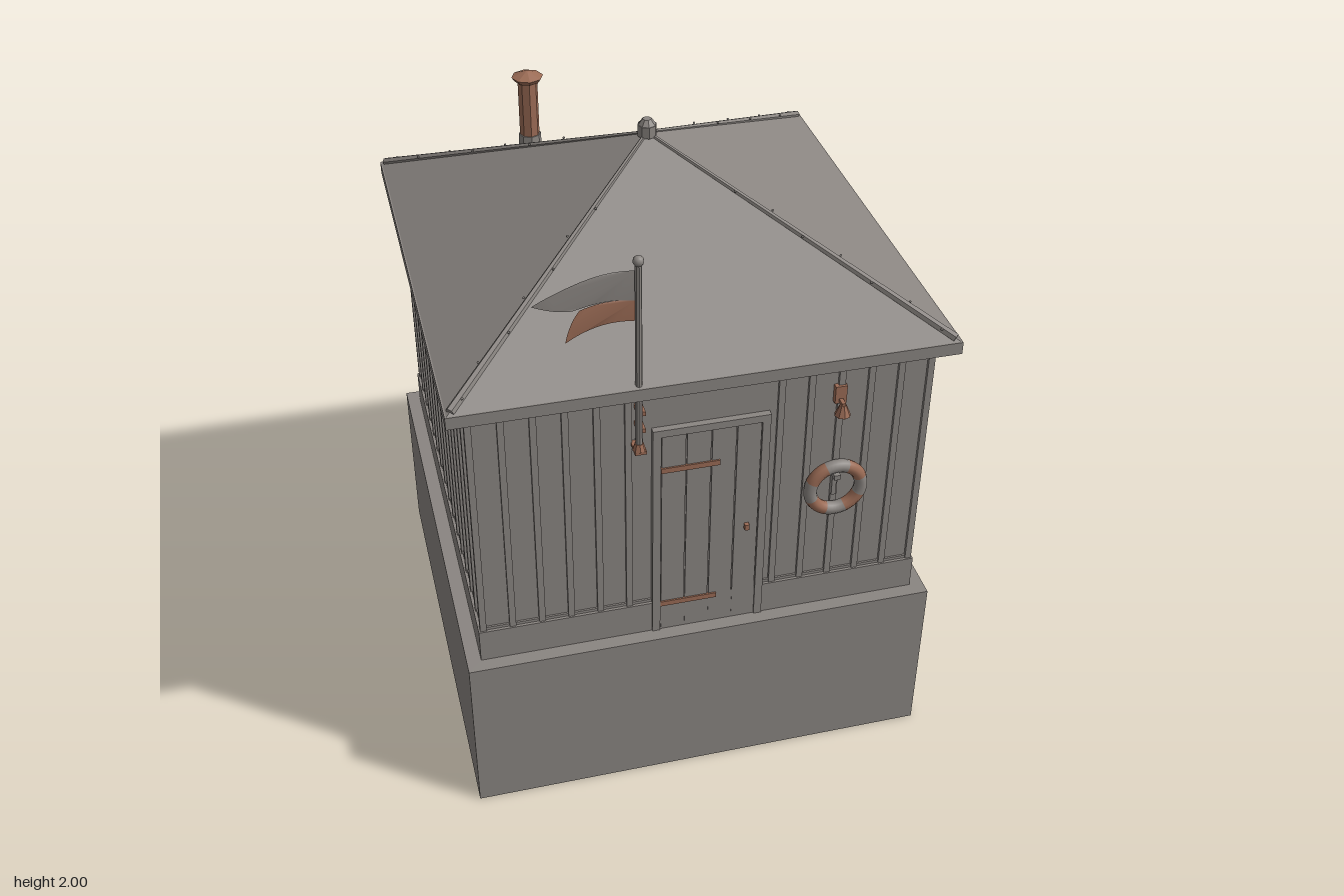
import * as THREE from 'three';

const grey = new THREE.MeshStandardMaterial({ color: 0x8a8581 });
grey.name = 'weathered grey';
const copper = new THREE.MeshStandardMaterial({ color: 0x9a6b55 });
copper.name = 'rusty copper';
const greyCloth = new THREE.MeshStandardMaterial({ color: 0x8a8581, side: THREE.DoubleSide });
greyCloth.name = 'grey cloth';
const copperCloth = new THREE.MeshStandardMaterial({ color: 0x9a6b55, side: THREE.DoubleSide });
copperCloth.name = 'copper cloth';

// Faceted shading without smooth normals
function flat(geo) {
  const g = geo.index ? geo.toNonIndexed() : geo;
  g.computeVertexNormals();
  return g;
}

function add(parent, name, geo, mat, x = 0, y = 0, z = 0) {
  const mesh = new THREE.Mesh(geo, mat);
  mesh.name = name;
  mesh.position.set(x, y, z);
  parent.add(mesh);
  return mesh;
}

// Box given by its limits on each axis
function box(parent, name, mat, x0, x1, y0, y1, z0, z1) {
  return add(parent, name, new THREE.BoxGeometry(x1 - x0, y1 - y0, z1 - z0), mat,
    (x0 + x1) / 2, (y0 + y1) / 2, (z0 + z1) / 2);
}

function drum(parent, name, mat, rTop, rBottom, y0, y1, x, z, sides = 8) {
  return add(parent, name, flat(new THREE.CylinderGeometry(rTop, rBottom, y1 - y0, sides)), mat, x, (y0 + y1) / 2, z);
}

function group(parent, name) {
  const g = new THREE.Group();
  g.name = name;
  parent.add(g);
  return g;
}

// Vertical battens on all four walls, in a wall frame that faces +z
function buildBattens(root) {
  ['front', 'left', 'back', 'right'].forEach((side, i) => {
    const wall = group(root, side + 'Battens');
    wall.rotation.y = i * Math.PI / 2;
    for (let k = -7.5; k <= 7.5; k++) {
      const x = k * 0.092;
      if (side === 'front' && x > -0.17 && x < 0.2) continue;
      const w = 0.01;
      if (side === 'left' && Math.abs(x) < 0.53) {
        box(wall, 'battenBelowWindow', grey, x - w, x + w, 0.69, 0.91, 0.685, 0.7);
        box(wall, 'battenAboveWindow', grey, x - w, x + w, 1.39, 1.52, 0.685, 0.7);
      } else box(wall, 'batten', grey, x - w, x + w, 0.69, 1.52, 0.685, 0.7);
    }
  });
}

function buildRoof(root) {
  const roof = group(root, 'roof');
  box(roof, 'eaves', grey, -0.755, 0.755, 1.52, 1.56, -0.755, 0.755);
  const pyramid = new THREE.ConeGeometry(0.75 * Math.SQRT2, 0.395, 4);
  pyramid.rotateY(Math.PI / 4);
  add(roof, 'roofSlopes', flat(pyramid), grey, 0, 1.7575, 0);
  // Tapered hip caps with rivets
  const up = new THREE.Vector3(0, 1, 0);
  const top = new THREE.Vector3(0, 1.955, 0);
  for (const sx of [-1, 1]) for (const sz of [-1, 1]) {
    const foot = new THREE.Vector3(sx * 0.738, 1.567, sz * 0.738);
    const dir = top.clone().sub(foot);
    const cap = add(roof, 'hipCap', flat(new THREE.CylinderGeometry(0.006, 0.014, dir.length(), 6)), grey);
    cap.position.copy(foot).lerp(top, 0.5);
    cap.quaternion.setFromUnitVectors(up, dir.normalize());
    for (let i = 0; i < 7; i++) {
      const p = foot.clone().lerp(top, 0.04 + i * 0.11);
      const s = i % 2 ? 0.009 : -0.009;
      add(roof, 'rivet', new THREE.SphereGeometry(0.004, 6, 4), grey, p.x + s * sx, p.y + 0.008, p.z - s * sz);
    }
  }
  // Finial
  drum(roof, 'finialCollar', grey, 0.03, 0.03, 1.945, 1.982, 0, 0);
  drum(roof, 'finialTop', grey, 0.014, 0.028, 1.982, 2.0, 0, 0);
  // Chimney
  const chimney = group(root, 'chimney');
  const [x, z] = [-0.285, -0.435];
  drum(chimney, 'chimneyCollar', grey, 0.036, 0.04, 1.69, 1.772, x, z);
  drum(chimney, 'chimneyPipe', copper, 0.032, 0.032, 1.77, 1.965, x, z);
  drum(chimney, 'chimneyRim', copper, 0.051, 0.04, 1.957, 1.972, x, z);
  drum(chimney, 'chimneyCap', copper, 0.006, 0.051, 1.972, 1.99, x, z);
}

function buildDoor(root) {
  const door = group(root, 'door');
  box(door, 'doorFrameRight', grey, -0.16, -0.135, 0.58, 1.37, 0.68, 0.71);
  box(door, 'doorFrameLeft', grey, 0.172, 0.197, 0.58, 1.37, 0.68, 0.71);
  box(door, 'doorLintel', grey, -0.16, 0.197, 1.345, 1.37, 0.68, 0.711);
  box(door, 'doorBacking', grey, -0.135, 0.172, 0.585, 1.345, 0.68, 0.701);
  for (let i = 0; i < 4; i++) {
    const x = -0.134 + i * 0.0765;
    box(door, 'doorPlank', grey, x + 0.002, x + 0.0745, 0.587, 1.343, 0.69, 0.706);
  }
  for (const y of [0.69, 1.22]) box(door, 'hinge', copper, -0.135, 0.045, y - 0.009, y + 0.009, 0.7, 0.711);
  box(door, 'doorHandle', copper, 0.128, 0.142, 0.945, 0.965, 0.7, 0.72);
}

function buildWindow(root) {
  const win = group(root, 'window');
  box(win, 'windowPane', grey, 0.693, 0.7, 0.92, 1.39, -0.52, 0.52);
  for (const s of [-1, 1]) {
    box(win, 'windowJamb', grey, 0.685, 0.711, 0.92, 1.397, s * 0.516 - 0.01, s * 0.516 + 0.01);
    box(win, 'mullion', grey, 0.69, 0.707, 0.92, 1.38, s * 0.165 - 0.006, s * 0.165 + 0.006);
  }
  box(win, 'windowHead', grey, 0.685, 0.712, 1.372, 1.397, -0.526, 0.526);
  box(win, 'windowFoot', grey, 0.685, 0.71, 0.915, 0.935, -0.526, 0.526);
  box(win, 'windowSill', grey, 0.685, 0.728, 0.902, 0.92, -0.553, 0.553);
}

// Cloth panel from a shape, rippled along its length
function cloth(parent, name, mat, shape, z) {
  const geo = new THREE.ShapeGeometry(shape, 10);
  const p = geo.attributes.position;
  for (let i = 0; i < p.count; i++) p.setZ(i, Math.sin((p.getX(i) + 0.21) * 22) * 0.005);
  geo.computeVertexNormals();
  add(parent, name, geo, mat, 0, 0, z);
}

function buildFlag(root) {
  const flag = group(root, 'flag');
  const [x, z] = [-0.208, 0.736];
  drum(flag, 'flagPole', grey, 0.01, 0.011, 1.325, 1.965, x, z);
  add(flag, 'poleBall', new THREE.SphereGeometry(0.016, 10, 8), grey, x, 1.968, z);
  const upper = new THREE.Shape();
  upper.moveTo(-0.215, 1.937);
  upper.quadraticCurveTo(-0.38, 1.945, -0.5, 1.865);
  upper.quadraticCurveTo(-0.44, 1.84, -0.39, 1.837);
  upper.quadraticCurveTo(-0.3, 1.855, -0.215, 1.842);
  cloth(flag, 'upperFlagHalf', greyCloth, upper, z - 0.004);
  const lower = new THREE.Shape();
  lower.moveTo(-0.215, 1.842);
  lower.quadraticCurveTo(-0.3, 1.855, -0.37, 1.835);
  lower.quadraticCurveTo(-0.4, 1.8, -0.412, 1.737);
  lower.quadraticCurveTo(-0.34, 1.785, -0.215, 1.777);
  cloth(flag, 'lowerFlagHalf', copperCloth, lower, z - 0.004);
  // Wall brackets and foot
  for (const y of [1.4, 1.46]) box(flag, 'poleBracket', copper, x - 0.003, x + 0.02, y - 0.007, y + 0.007, 0.69, z);
  box(flag, 'bracketPlate', grey, x, x + 0.018, 1.33, 1.48, 0.69, 0.708);
  box(flag, 'poleFoot', copper, x - 0.015, x + 0.02, 1.327, 1.337, 0.69, 0.752);
  drum(flag, 'poleSocket', copper, 0.013, 0.02, 1.337, 1.36, x, z);
}

function buildLifeRing(root) {
  const ring = group(root, 'lifeRing');
  ring.position.set(0.41, 1.064, 0.722);
  // Eight arcs in alternating colours, copper on the diagonals
  for (let i = 0; i < 8; i++) {
    const arc = add(ring, i % 2 ? 'copperArc' : 'greyArc',
      new THREE.TorusGeometry(0.081, 0.021, 10, 6, Math.PI / 4), i % 2 ? copper : grey);
    arc.rotation.z = (i - 0.5) * Math.PI / 4;
  }
  box(ring, 'ringPegPlate', grey, -0.007, 0.007, -0.04, 0.055, -0.03, -0.012);
  box(ring, 'ringPeg', grey, -0.01, 0.01, 0.035, 0.052, -0.03, 0.012);
}

function buildBell(root) {
  const bell = group(root, 'bell');
  box(bell, 'bellPlate', copper, 0.392, 0.428, 1.37, 1.43, 0.69, 0.708);
  box(bell, 'bellArm', copper, 0.404, 0.416, 1.375, 1.387, 0.7, 0.735);
  drum(bell, 'bellDome', copper, 0.01, 0.025, 1.343, 1.378, 0.41, 0.728);
  drum(bell, 'bellClapper', copper, 0.006, 0.006, 1.333, 1.345, 0.41, 0.728);
}

export function createModel() {
  const root = new THREE.Group();
  root.name = 'hut';
  // Base, plinth and wall core
  box(root, 'base', grey, -0.75, 0.75, 0, 0.58, -0.75, 0.75);
  box(root, 'plinth', grey, -0.705, 0.705, 0.58, 0.695, -0.705, 0.705);
  box(root, 'walls', grey, -0.69, 0.69, 0.69, 1.53, -0.69, 0.69);
  box(root, 'wallFootRail', grey, -0.696, 0.696, 0.69, 0.705, -0.696, 0.696);
  buildBattens(root);
  buildRoof(root);
  buildDoor(root);
  buildWindow(root);
  buildFlag(root);
  buildLifeRing(root);
  buildBell(root);
  return root;
}
